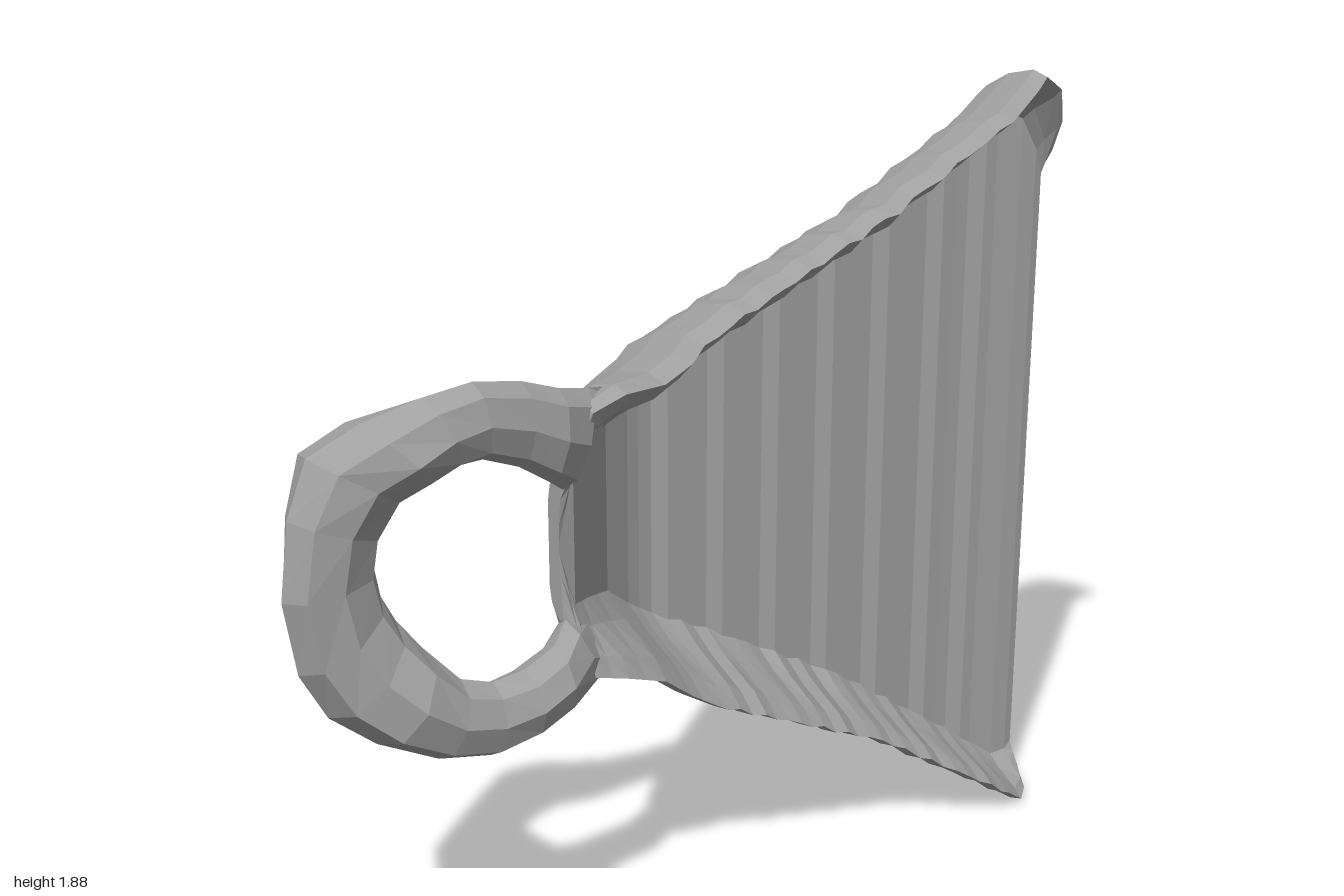
import * as THREE from 'three';

// Builds a faceted surface from loops of points; the caller adds any caps.
function loft(loops, caps = []) {
  const n = loops[0].length, index = [...caps];
  for (let i = 0; i < loops.length - 1; i++) {
    for (let j = 0; j < n; j++) {
      const k = (j + 1) % n, p = i * n, q = p + n;
      index.push(p + j, q + j, p + k, p + k, q + j, q + k);
    }
  }
  const geometry = new THREE.BufferGeometry();
  geometry.setAttribute('position', new THREE.Float32BufferAttribute(loops.flat(2), 3));
  geometry.setIndex(index);
  const flat = geometry.toNonIndexed();
  flat.computeVertexNormals();
  return flat;
}

// Linear lookup in rows sorted by a rising first column.
function lookup(rows, t) {
  let i = 0;
  while (i < rows.length - 2 && t > rows[i + 1][0]) i++;
  const a = rows[i], b = rows[i + 1];
  const f = THREE.MathUtils.clamp((t - a[0]) / (b[0] - a[0]), 0, 1);
  return a.slice(1).map((v, k) => THREE.MathUtils.lerp(v, b[k + 1], f));
}

// Scoop sections: distance back, bottom y, top y, outer x, floor x, rim x,
// rounding of the bottom edge, rounding of the top edge
const SECTIONS = [
  [-0.37, 0.78, 1.12, 0.00, 0.04, 0.05, 0.06, 0.06],
  [-0.33, 0.65, 1.28, -0.03, 0.04, 0.12, 0.1, 0.1],
  [-0.25, 0.63, 1.31, -0.10, -0.02, 0.13, 0.1, 0.1],
  [-0.14, 0.59, 1.31, -0.20, -0.11, 0.12, 0.1, 0.1],
  [-0.06, 0.53, 1.34, -0.23, -0.14, 0.11, 0.12, 0.11],
  [0.00, 0.49, 1.39, -0.23, -0.14, 0.11, 0.14, 0.13],
  [0.50, 0.27, 1.61, -0.125, -0.035, 0.14, 0.08, 0.1],
  [0.80, 0.09, 1.81, -0.045, 0.035, 0.215, 0.05, 0.09],
  [0.88, 0.04, 1.885, -0.02, 0.06, 0.21, 0.04, 0.09],
  [0.94, 0.00, 1.85, 0.01, 0.08, 0.2, 0.03, 0.08],
  [0.98, 0.01, 1.77, 0.02, 0.09, 0.17, 0.03, 0.04],
  [1.00, 0.03, 1.71, 0.035, 0.09, 0.13, 0.02, 0.02],
];

function scoopGeometry() {
  const depths = [-0.37, -0.35, -0.33, -0.29, -0.25, -0.2, -0.14, -0.1];
  for (let d = -0.06; d < 0.86; d += 0.035) depths.push(d);
  depths.push(0.88, 0.94, 0.98, 1);
  const stair = (x) => 0.5 * x + 0.5 * Math.round(x / 0.03) * 0.03;
  const loops = depths.map((d, i) => {
    let [b, t, xo, xi, xr, rb, rt] = lookup(SECTIONS, d);
    if (d > -0.05 && d < 0.87) { // worn, stepped surface
      xo = stair(xo);
      xi = stair(xi);
      t += 0.006 * Math.sin(i * 2.3);
      b += 0.005 * Math.sin(i * 2.7 + 1);
      xr += 0.004 * Math.sin(i * 1.9);
    }
    const w = Math.min(0.16, 0.17 - 0.08 * d); // width of the sloping inner wall
    const rise = xr - xi, wide = xr - xo;
    const inner = [[xr, 0.012], [xr - rise * 0.2, w * 0.35], [xi + rise * 0.3, w * 0.7], [xi, w]];
    const outer = (r) => [[xr - wide * 0.2, 0], [xo + wide * 0.45, r * 0.2],
      [xo + wide * 0.15, r * 0.6], [xo, r * 1.2]];
    const z = -d;
    return [
      ...inner.map(([x, y]) => [x, b + y, z]),
      ...[...inner].reverse().map(([x, y]) => [x, t - y, z]),
      ...outer(rt).map(([x, y]) => [x, t - y, z]),
      ...outer(rb).reverse().map(([x, y]) => [x, b + y, z]),
    ];
  });
  // End caps follow the channel section as a strip
  const caps = [], n = 16, last = (loops.length - 1) * n;
  for (let j = 0; j < 7; j++) {
    const a = j, b = j + 1, c = n - 2 - j, d = n - 1 - j;
    caps.push(a, b, c, a, c, d);
    caps.push(last + a, last + c, last + b, last + a, last + d, last + c);
  }
  return loft(loops, caps);
}

// Ring from lower root round the front to upper root:
// outer z and y, inner z and y, centre x, half width
const RING = [
  [0.2, 0.64, 0.32, 0.78, 0.04, 0.01],
  [0.3, 0.63, 0.37, 0.79, 0.06, 0.06],
  [0.4, 0.595, 0.42, 0.75, 0.09, 0.07],
  [0.48, 0.555, 0.49, 0.71, 0.08, 0.075],
  [0.58, 0.53, 0.57, 0.7, 0.075, 0.065],
  [0.7, 0.55, 0.64, 0.72, 0.06, 0.075],
  [0.82, 0.6, 0.7, 0.79, 0.01, 0.12],
  [0.91, 0.67, 0.74, 0.85, -0.03, 0.115],
  [0.97, 0.78, 0.77, 0.91, -0.035, 0.09],
  [1.0, 0.95, 0.785, 0.98, -0.03, 0.075],
  [0.975, 1.12, 0.775, 1.05, -0.035, 0.09],
  [0.92, 1.24, 0.73, 1.12, -0.045, 0.125],
  [0.82, 1.305, 0.69, 1.16, 0.0, 0.13],
  [0.71, 1.355, 0.64, 1.195, 0.06, 0.08],
  [0.6, 1.375, 0.58, 1.205, 0.08, 0.06],
  [0.48, 1.355, 0.49, 1.17, 0.075, 0.065],
  [0.39, 1.325, 0.42, 1.125, 0.08, 0.065],
  [0.3, 1.305, 0.37, 1.09, 0.06, 0.06],
  [0.2, 1.29, 0.32, 1.12, 0.04, 0.01],
];

function ringGeometry() {
  const sides = 8;
  const loops = RING.map(([oz, oy, iz, iy, cx, hw]) => {
    const loop = [];
    for (let j = 0; j < sides; j++) {
      const q = (-j / sides) * Math.PI * 2;
      const f = 0.5 + 0.5 * Math.cos(q);
      loop.push([cx + hw * Math.sin(q), THREE.MathUtils.lerp(iy, oy, f), THREE.MathUtils.lerp(iz, oz, f)]);
    }
    return loop;
  });
  return loft(loops);
}

export function createModel() {
  const group = new THREE.Group();
  const grey = new THREE.MeshStandardMaterial({ color: 0xa0a0a0, flatShading: true });
  grey.name = 'plain grey';

  // Flared channel-shaped blade with raised rims
  const scoop = new THREE.Mesh(scoopGeometry(), grey);
  scoop.name = 'scoop';

  // Finger ring joined to the narrow end
  const ring = new THREE.Mesh(ringGeometry(), grey);
  ring.name = 'ringHandle';

  group.add(scoop, ring);
  return group;
}
